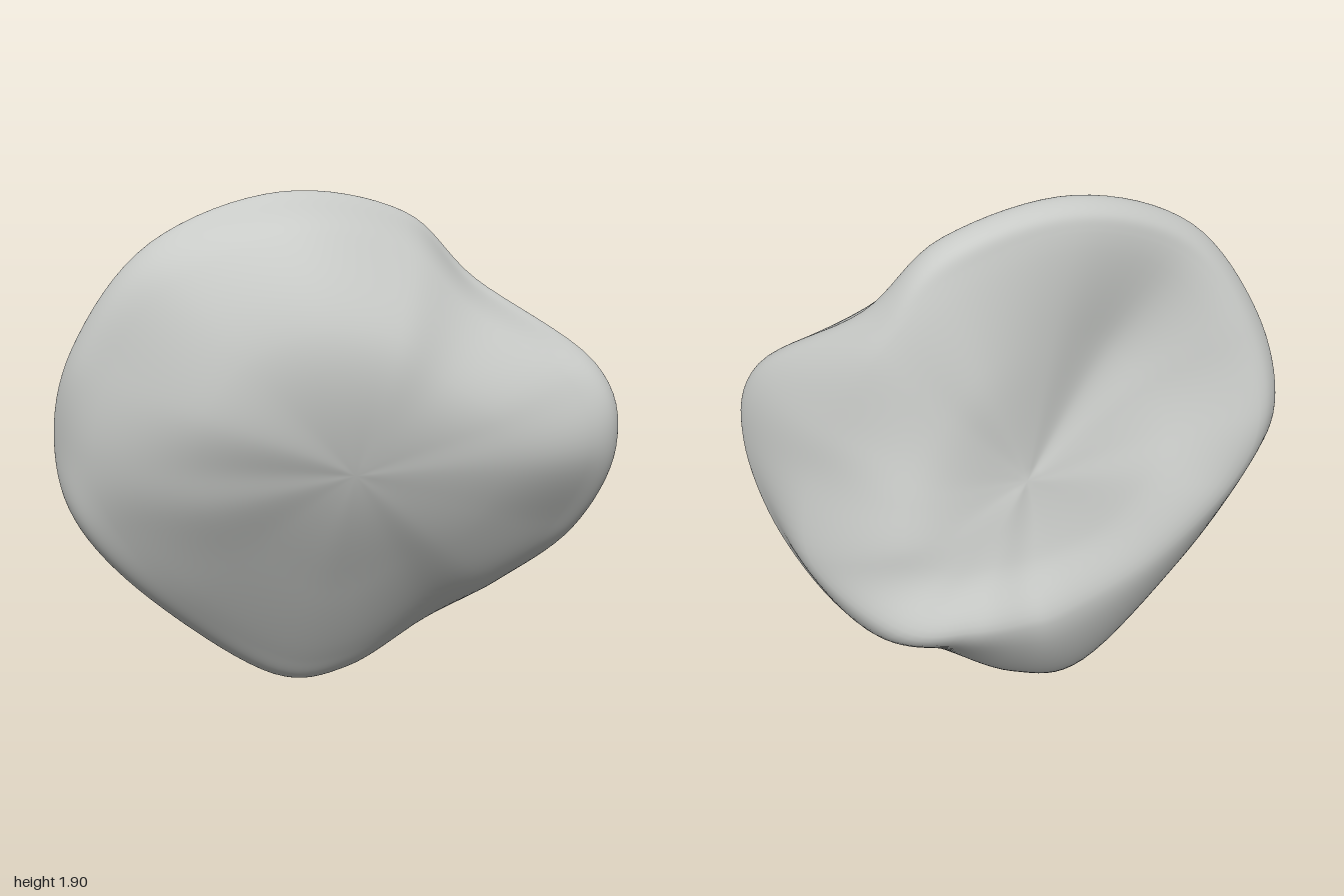
import * as THREE from 'three';
import { mergeVertices } from 'three/addons/utils/BufferGeometryUtils.js';

// Each row is one spoke of the boulder, counter-clockwise from its left side:
// outline x, y, z, depth at front shoulder and front middle,
// then how far out the back ledge sits, its depth, and the depth of the back hollow
const SPOKES = [
  [1.0, 1.0, 0.15, 0.30, 0.41, 0.75, -0.18, -0.38],
  [0.91, 1.3, 0.12, 0.28, 0.43, 0.72, -0.21, -0.35],
  [0.52, 1.58, -0.10, 0.22, 0.46, 0.88, -0.25, -0.31],
  [0.25, 1.82, -0.10, 0.19, 0.48, 0.88, -0.21, -0.27],
  [-0.2, 1.89, 0.05, 0.32, 0.51, 0.9, -0.06, -0.14],
  [-0.64, 1.73, 0.18, 0.36, 0.51, 0.9, 0.07, 0.0],
  [-0.91, 1.39, 0.16, 0.32, 0.50, 0.9, 0.04, -0.01],
  [-1.0, 1.05, 0.10, 0.29, 0.45, 0.9, -0.03, -0.06],
  [-0.93, 0.75, 0.12, 0.26, 0.41, 0.86, -0.08, -0.14],
  [-0.67, 0.4, 0.03, 0.19, 0.33, 0.72, -0.23, -0.24],
  [-0.25, 0.03, -0.11, 0.05, 0.24, 0.5, -0.43, -0.33],
  [0.05, 0.03, -0.14, 0.03, 0.23, 0.5, -0.48, -0.36],
  [0.37, 0.22, -0.15, 0.05, 0.26, 0.6, -0.52, -0.40],
  [0.66, 0.37, -0.14, 0.10, 0.30, 0.72, -0.49, -0.43],
  [0.9, 0.65, 0.03, 0.18, 0.35, 0.85, -0.25, -0.42],
];
const CENTRE_Y = 1.0, FRONT_Z = 0.46, BACK_Z = -0.27;
const RIM_REACH = 0.965, RIM_HALF = 0.08;
const AROUND = 120, ACROSS = 72;

// Closed curve through all spokes, at a fraction of the outline and a depth for each
function ring(reach, depth) {
  const points = SPOKES.map((s) => new THREE.Vector3(
    s[0] * reach(s), CENTRE_Y + (s[1] - CENTRE_Y) * reach(s), depth(s)));
  return new THREE.CatmullRomCurve3(points, true, 'catmullrom', 0.5);
}

function boulderGeometry() {
  const rings = [
    ring(() => 0.5, (s) => s[4]), // front middle
    ring(() => 0.85, (s) => s[3]), // front shoulder
    ring(() => RIM_REACH, (s) => s[2] + RIM_HALF), // blunt rim
    ring(() => 1, (s) => s[2]),
    ring(() => RIM_REACH, (s) => s[2] - RIM_HALF),
    ring((s) => s[5], (s) => s[6]), // back ledge
    ring((s) => s[5] * 0.55, (s) => s[7]), // back hollow
  ];
  const front = new THREE.Vector3(0, CENTRE_Y, FRONT_Z);
  const back = new THREE.Vector3(0, CENTRE_Y, BACK_Z);
  const positions = [], index = [];

  // Sections run from the front centre, over the rim, to the back centre;
  // an extra point from the opposite spoke at each end keeps the centres smooth
  for (let i = 0; i < AROUND; i++) {
    const u = i / AROUND, opposite = (u + 0.5) % 1;
    const points = [rings[0].getPoint(opposite), front,
      ...rings.map((r) => r.getPoint(u)), back, rings[6].getPoint(opposite)];
    const section = new THREE.CatmullRomCurve3(points, false, 'centripetal');
    const spans = points.length - 1;
    for (let j = 0; j <= ACROSS; j++) {
      positions.push(...section.getPoint((1 + (j / ACROSS) * (spans - 2)) / spans).toArray());
    }
  }
  const row = ACROSS + 1;
  for (let i = 0; i < AROUND; i++) {
    const a0 = i * row, b0 = ((i + 1) % AROUND) * row;
    for (let j = 0; j < ACROSS; j++) {
      const a = a0 + j, b = b0 + j;
      // The first and last steps are fans around the centres
      if (j === ACROSS - 1) index.push(a, a + 1, b);
      else index.push(a, a + 1, b + 1);
      if (j > 0 && j < ACROSS - 1) index.push(a, b + 1, b);
    }
  }

  let geometry = new THREE.BufferGeometry();
  geometry.setAttribute('position', new THREE.Float32BufferAttribute(positions, 3));
  geometry.setIndex(index);
  geometry = mergeVertices(geometry, 1e-5);

  // Stand on the ground, centred
  geometry.computeBoundingBox();
  const { min, max } = geometry.boundingBox;
  geometry.translate(-(min.x + max.x) / 2, -min.y, -(min.z + max.z) / 2);
  geometry.computeVertexNormals();
  return geometry;
}

export function createModel() {
  const stone = new THREE.MeshStandardMaterial({ color: 0xc8cac7 });
  stone.name = 'stone grey';
  const boulder = new THREE.Mesh(boulderGeometry(), stone);
  boulder.name = 'boulder';
  const model = new THREE.Group();
  model.name = 'rock';
  model.add(boulder);
  return model;
}
